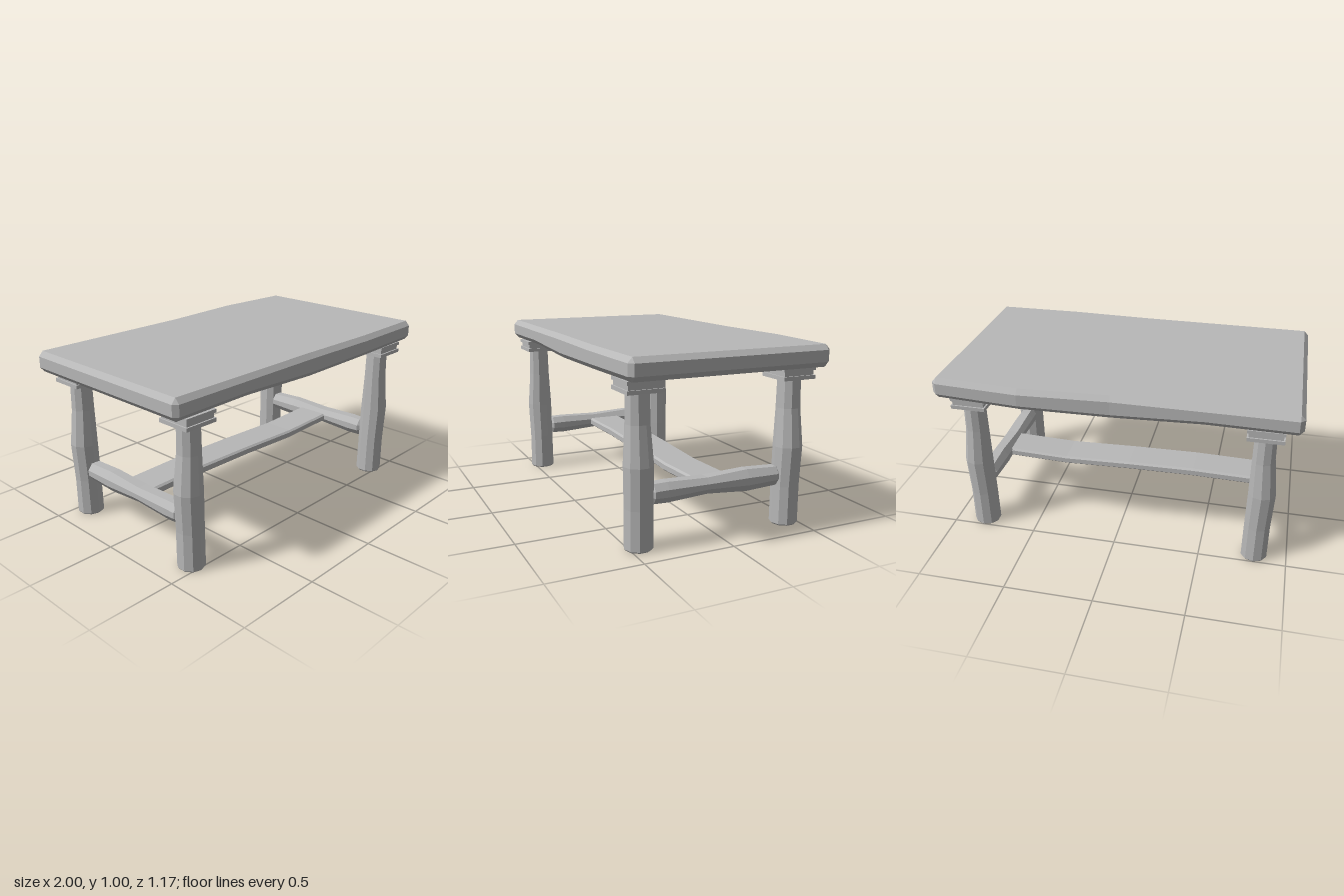
import * as THREE from 'three';

// Joins rings of equal point count into a closed, faceted solid
function loft(rings) {
  const n = rings[0].length, tris = [];
  for (let i = 0; i < rings.length - 1; i++) {
    for (let j = 0; j < n; j++) {
      const k = (j + 1) % n, a = rings[i], b = rings[i + 1];
      tris.push([a[j], b[j], b[k]], [a[j], b[k], a[k]]);
    }
  }
  const first = rings[0], last = rings[rings.length - 1];
  for (let j = 1; j < n - 1; j++) {
    tris.push([first[0], first[j], first[j + 1]], [last[0], last[j + 1], last[j]]);
  }
  // Turn all faces outward
  let volume = 0;
  for (const [a, b, c] of tris) volume += a.dot(b.clone().cross(c));
  const points = tris.flatMap(([a, b, c]) => (volume < 0 ? [a, c, b] : [a, b, c]));
  const geometry = new THREE.BufferGeometry().setFromPoints(points);
  geometry.computeVertexNormals();
  return geometry;
}

// Bevelled rectangle as [u, v] corners, bevel bu wide and bv high
function bevelRect(u0, u1, v0, v1, bu, bv) {
  return [
    [u0 + bu, v0], [u1 - bu, v0], [u1, v0 + bv], [u1, v1 - bv],
    [u1 - bu, v1], [u0 + bu, v1], [u0, v1 - bv], [u0, v0 + bv],
  ];
}

export function createModel() {
  const group = new THREE.Group();
  const grey = new THREE.MeshStandardMaterial({ color: 0xb8b8b8 });
  const add = (name, geometry, parent = group) => {
    const mesh = new THREE.Mesh(geometry, grey);
    mesh.name = name;
    parent.add(mesh);
    return mesh;
  };

  // Tabletop: x, back z, front z, underside y
  const alongX = (x, corners) => corners.map(([z, y]) => new THREE.Vector3(x, y, z));
  const topRings = [
    [-0.975, -0.56, 0.57, 0.882], [-0.5, -0.56, 0.57, 0.887], [0, -0.56, 0.57, 0.868],
    [0.5, -0.59, 0.582, 0.878], [0.975, -0.56, 0.572, 0.882],
  ].map(([x, back, front, low]) => alongX(x, bevelRect(back, front, low, 1, 0.025, 0.028)));
  // The end faces shrink to the inner rectangle, bevelling the rim and corners
  const endRing = (x) => {
    const b = -0.535, f = 0.547, lo = 0.91, hi = 0.972;
    return alongX(x, [[b, lo], [f, lo], [f, lo], [f, hi], [f, hi], [b, hi], [b, hi], [b, lo]]);
  };
  add('tabletop', loft([endRing(-1), ...topRings, endRing(1)]));

  // Legs: height, outward shift in x and z, radius
  const legProfile = [
    [0, 0, 0, 0.07], [0.008, 0, 0, 0.077], [0.22, 0.002, 0, 0.076], [0.44, 0.01, 0.003, 0.079],
    [0.65, 0, 0.003, 0.065], [0.815, 0, 0.003, 0.062],
  ];
  const sides = 10;
  for (const sx of [-1, 1]) {
    for (const sz of [-1, 1]) {
      const leg = new THREE.Group();
      leg.name = `${sz > 0 ? 'front' : 'back'}${sx > 0 ? 'Left' : 'Right'}Leg`;
      leg.position.set(sx * 0.815, 0, sz * 0.439 + 0.01);
      group.add(leg);
      add('post', loft(legProfile.map(([y, dx, dz, r]) =>
        Array.from({ length: sides }, (_, i) => {
          const a = ((i + 0.5) / sides) * Math.PI * 2;
          return new THREE.Vector3(sx * (dx + r * Math.cos(a)), y, sz * (dz + r * Math.sin(a)));
        }))), leg);
      // Square stepped capital
      for (const [name, y0, y1, w] of [
        ['lowerPlate', 0.81, 0.831, 0.197], ['neck', 0.831, 0.857, 0.18], ['upperPlate', 0.857, 0.876, 0.197],
      ]) {
        add(name, new THREE.BoxGeometry(w, y1 - y0, w), leg).position.y = (y0 + y1) / 2;
      }
    }
  }

  // Side stretchers between front and back legs: z, bottom, top, half width, bevel
  const sideProfile = [
    [-0.37, 0.25, 0.315, 0.035, 0.02], [-0.355, 0.23, 0.332, 0.052, 0.035], [-0.17, 0.221, 0.341, 0.056, 0.04],
    [0.07, 0.242, 0.329, 0.052, 0.03], [0.3, 0.228, 0.337, 0.054, 0.035], [0.375, 0.23, 0.335, 0.052, 0.035],
    [0.39, 0.25, 0.318, 0.035, 0.02],
  ];
  for (const sx of [-1, 1]) {
    add(sx > 0 ? 'leftStretcher' : 'rightStretcher', loft(sideProfile.map(([z, lo, hi, w, b]) =>
      bevelRect(-w, w, lo, hi, b * 0.75, b).map(([x, y]) => new THREE.Vector3(sx * 0.812 + x, y, z)))));
  }

  // Long flat stretcher: x, bottom, top
  add('longStretcher', loft([
    [-0.8, 0.257, 0.306], [-0.4, 0.264, 0.314], [0, 0.259, 0.307], [0.4, 0.245, 0.294], [0.8, 0.259, 0.307],
  ].map(([x, lo, hi]) => alongX(x, bevelRect(-0.105, 0.105, lo, hi, 0.012, 0.01)))));

  return group;
}
